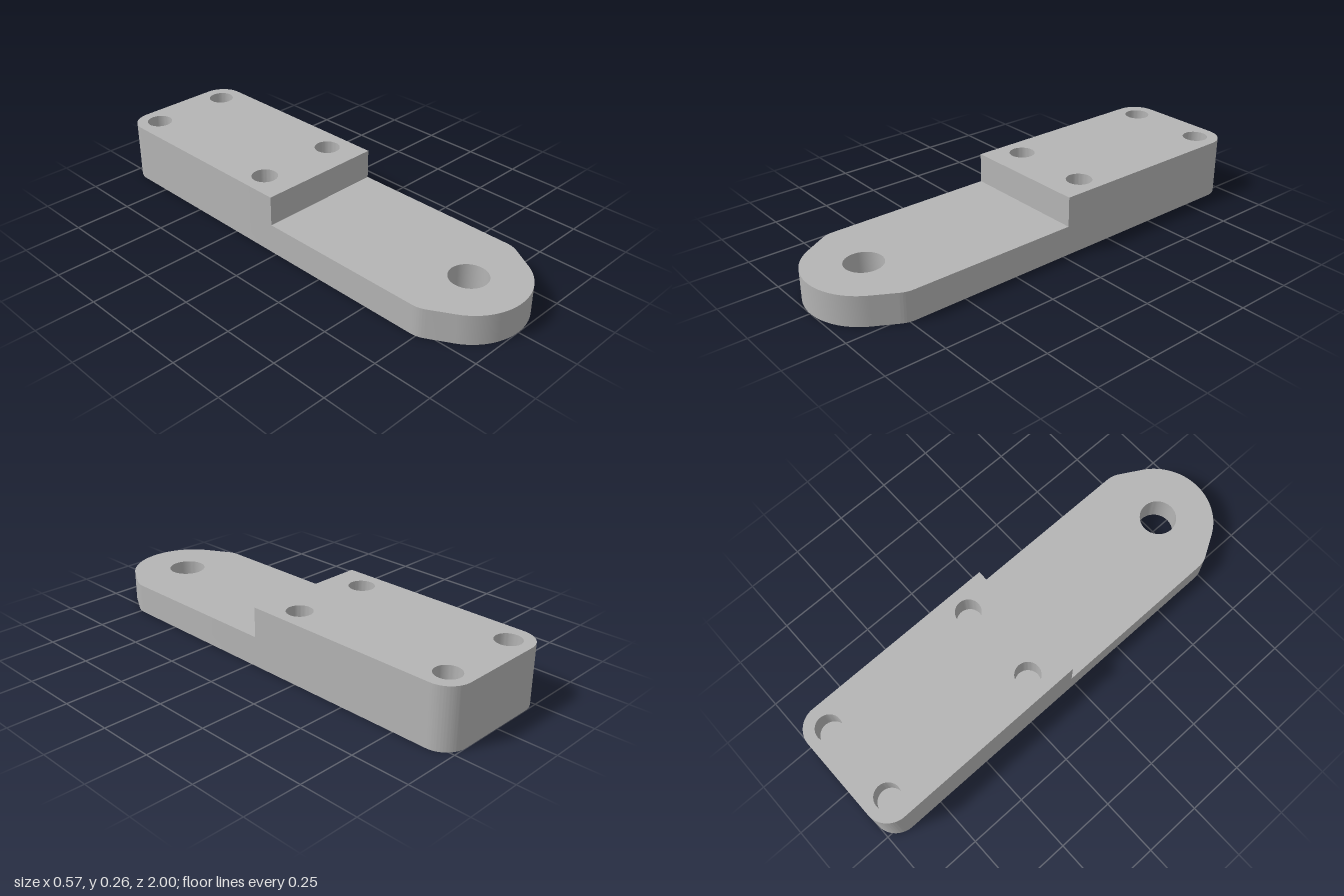
import * as THREE from 'three';
import { toCreasedNormals } from 'three/addons/utils/BufferGeometryUtils.js';

const W = 0.285;        // half width
const STEP = -0.025;    // z of the step between thin tongue and thick block
const THIN = 0.13, THICK = 0.26;
const HOLE_R = 0.055, FLOOR = 0.15;

export function createModel() {
  const group = new THREE.Group();
  const grey = new THREE.MeshStandardMaterial({ color: 0xb4b4b4, side: THREE.DoubleSide });
  grey.name = 'plain grey';

  const add = (name, geometry, x = 0, y = 0, z = 0) => {
    const mesh = new THREE.Mesh(geometry, grey);
    mesh.name = name;
    mesh.position.set(x, y, z);
    group.add(mesh);
  };

  const addHole = (shape, x, z, r) => {
    const path = new THREE.Path();
    path.absarc(x, z, r, 0, Math.PI * 2, true);
    shape.holes.push(path);
  };

  // Plan outline in (x, z), raised from the ground to the given height
  const slab = (shape, height) => {
    const g = new THREE.ExtrudeGeometry(shape, { depth: height, bevelEnabled: false, curveSegments: 24 });
    g.rotateX(Math.PI / 2);
    g.translate(0, height, 0);
    return toCreasedNormals(g, 0.5);
  };

  // Thin tongue: rounded nose, slanted shoulders and a through hole
  const nose = 0.25, noseZ = 0.75, a = Math.PI / 6;
  const tongue = new THREE.Shape();
  tongue.moveTo(-W, STEP);
  tongue.lineTo(W, STEP);
  tongue.lineTo(W, 0.726);
  tongue.quadraticCurveTo(W, 0.756, 0.27, 0.782);
  tongue.lineTo(nose * Math.cos(a), noseZ + nose * Math.sin(a));
  tongue.absarc(0, noseZ, nose, a, Math.PI - a, false);
  tongue.lineTo(-0.27, 0.782);
  tongue.quadraticCurveTo(-W, 0.756, -W, 0.726);
  tongue.closePath();
  addHole(tongue, 0, 0.76, 0.08);
  add('tongue', slab(tongue, THIN));

  // Thick block with two rounded rear corners
  const r = 0.1;
  const block = new THREE.Shape();
  block.moveTo(W, STEP);
  block.lineTo(-W, STEP);
  block.lineTo(-W, -1 + r);
  block.absarc(-W + r, -1 + r, r, Math.PI, Math.PI * 1.5, false);
  block.lineTo(W - r, -1);
  block.absarc(W - r, -1 + r, r, Math.PI * 1.5, Math.PI * 2, false);
  block.closePath();

  // Four screw holes: flat floored from above, conical from below
  const spots = [];
  for (const x of [-0.182, 0.182]) for (const z of [-0.9, -0.175]) spots.push([x, z]);
  for (const [x, z] of spots) addHole(block, x, z, HOLE_R);
  add('block', slab(block, THICK));

  const floor = new THREE.CircleGeometry(HOLE_R, 48).rotateX(-Math.PI / 2);
  const coneHeight = FLOOR - 0.01;
  const cone = new THREE.ConeGeometry(HOLE_R, coneHeight, 48, 1, true);
  for (const [x, z] of spots) {
    add('screwHoleFloor', floor, x, FLOOR, z);
    add('screwHoleCone', cone, x, coneHeight / 2, z);
  }
  return group;
}
